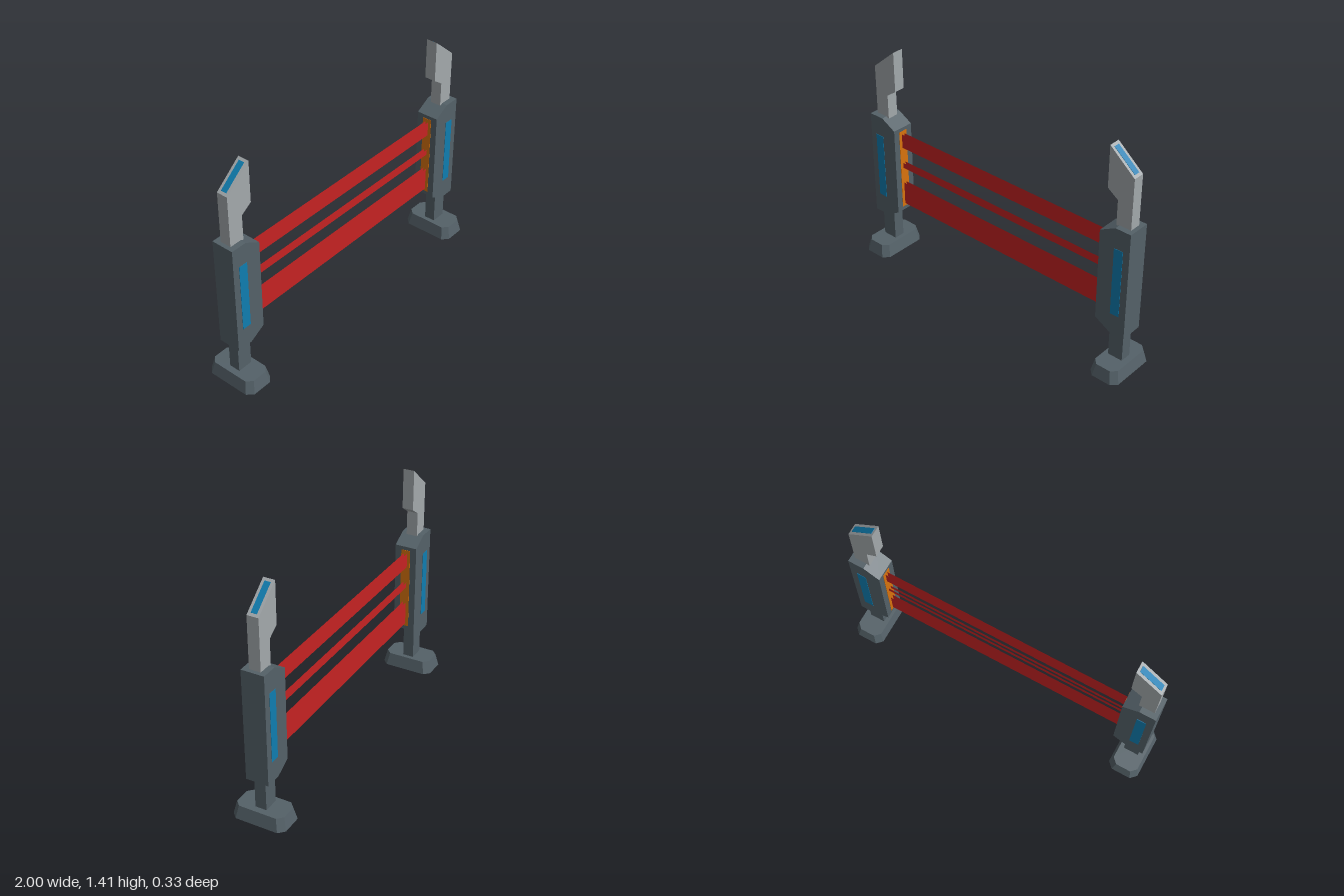
import * as THREE from 'three';

const mat = (name, color, extra = {}) => {
  const m = new THREE.MeshStandardMaterial({ color, ...extra });
  m.name = name;
  return m;
};

const add = (group, name, geometry, material) => {
  const mesh = new THREE.Mesh(geometry, material);
  mesh.name = name;
  group.add(mesh);
  return mesh;
};

// Outline in x and y, extruded evenly to both sides of z = 0
function slab(points, depth) {
  const shape = new THREE.Shape(points.map(([x, y]) => new THREE.Vector2(x, y)));
  return new THREE.ExtrudeGeometry(shape, { depth, bevelEnabled: false }).translate(0, 0, -depth / 2);
}

// Rectangular box given by its limits
function block(x0, x1, y0, y1, z0, z1) {
  return new THREE.BoxGeometry(x1 - x0, y1 - y0, z1 - z0)
    .translate((x0 + x1) / 2, (y0 + y1) / 2, (z0 + z1) / 2);
}

// Tapered foot with clipped corners, lofted between two octagons
function footGeometry() {
  const ring = (hx, hz, c, y) => [
    [hx, hz - c], [hx - c, hz], [c - hx, hz], [-hx, hz - c],
    [-hx, c - hz], [c - hx, -hz], [hx - c, -hz], [hx, c - hz],
  ].map(([x, z]) => [x, y, z]);
  const low = ring(0.097, 0.167, 0.035, 0);
  const high = ring(0.08, 0.15, 0.033, 0.08);
  const pos = [];
  const tri = (a, b, c) => pos.push(...a, ...b, ...c);
  for (let i = 0; i < 8; i++) {
    const j = (i + 1) % 8;
    tri(low[i], high[i], high[j]);
    tri(low[i], high[j], low[j]);
    tri([0, 0.08, 0], high[j], high[i]);
    tri([0, 0, 0], low[i], low[j]);
  }
  const g = new THREE.BufferGeometry();
  g.setAttribute('position', new THREE.Float32BufferAttribute(pos, 3));
  g.computeVertexNormals();
  return g.translate(0.903, 0, 0);
}

export function createModel() {
  const model = new THREE.Group();
  model.name = 'laserGate';
  const slate = mat('slate', 0x546168);
  const grey = mat('lightGrey', 0xa3a9ac);
  const blue = mat('blue', 0x0f7db0);
  const orange = mat('orange', 0xd9730d);
  const red = mat('red', 0xc62222, { side: THREE.DoubleSide });

  function makePost(name) {
    const post = new THREE.Group();
    post.name = name;
    add(post, 'foot', footGeometry(), slate);
    add(post, 'leg', block(0.85, 0.945, 0.07, 0.28, -0.035, 0.035), slate);
    add(post, 'housing', slab([
      [0.87, 0.27], [0.97, 0.27], [0.97, 0.957], [0.87, 0.957], [0.772, 0.903], [0.772, 0.325],
    ], 0.14), slate);
    add(post, 'mast', slab([
      [0.85, 0.95], [0.945, 0.95], [0.945, 1.27], [0.782, 1.407], [0.782, 1.152], [0.85, 1.105],
    ], 0.07), grey);

    // Lit panels on front and back of the housing
    for (const z of [-0.07, 0.07]) {
      add(post, 'sidePanel', block(0.87, 0.928, 0.4, 0.83, z - 0.002, z + 0.002), blue);
    }
    // Emitter strip on the inner face
    add(post, 'emitter', block(0.77, 0.774, 0.35, 0.88, -0.03, 0.03), orange);

    // Lamp lying on the sloping top of the mast
    const lamp = add(post, 'topLamp', new THREE.BoxGeometry(0.178, 0.004, 0.036), blue);
    lamp.position.set(0.8635, 1.3385, 0);
    lamp.rotation.z = Math.atan2(-0.137, 0.163);
    return post;
  }

  // The two posts face each other
  model.add(makePost('leftPost'));
  const right = makePost('rightPost');
  right.rotation.y = Math.PI;
  model.add(right);

  // Each beam is a pair of thin sheets, open above and below
  const beams = [['lowerBeam', 0.367, 0.518], ['middleBeam', 0.625, 0.66], ['upperBeam', 0.767, 0.86]];
  for (const [name, y0, y1] of beams) {
    const beam = new THREE.Group();
    beam.name = name;
    for (const s of [-1, 1]) {
      const sheet = add(beam, 'sheet', new THREE.PlaneGeometry(1.544, y1 - y0), red);
      sheet.position.set(0, (y0 + y1) / 2, s * 0.01);
      if (s < 0) sheet.rotation.y = Math.PI;
    }
    model.add(beam);
  }
  return model;
}
